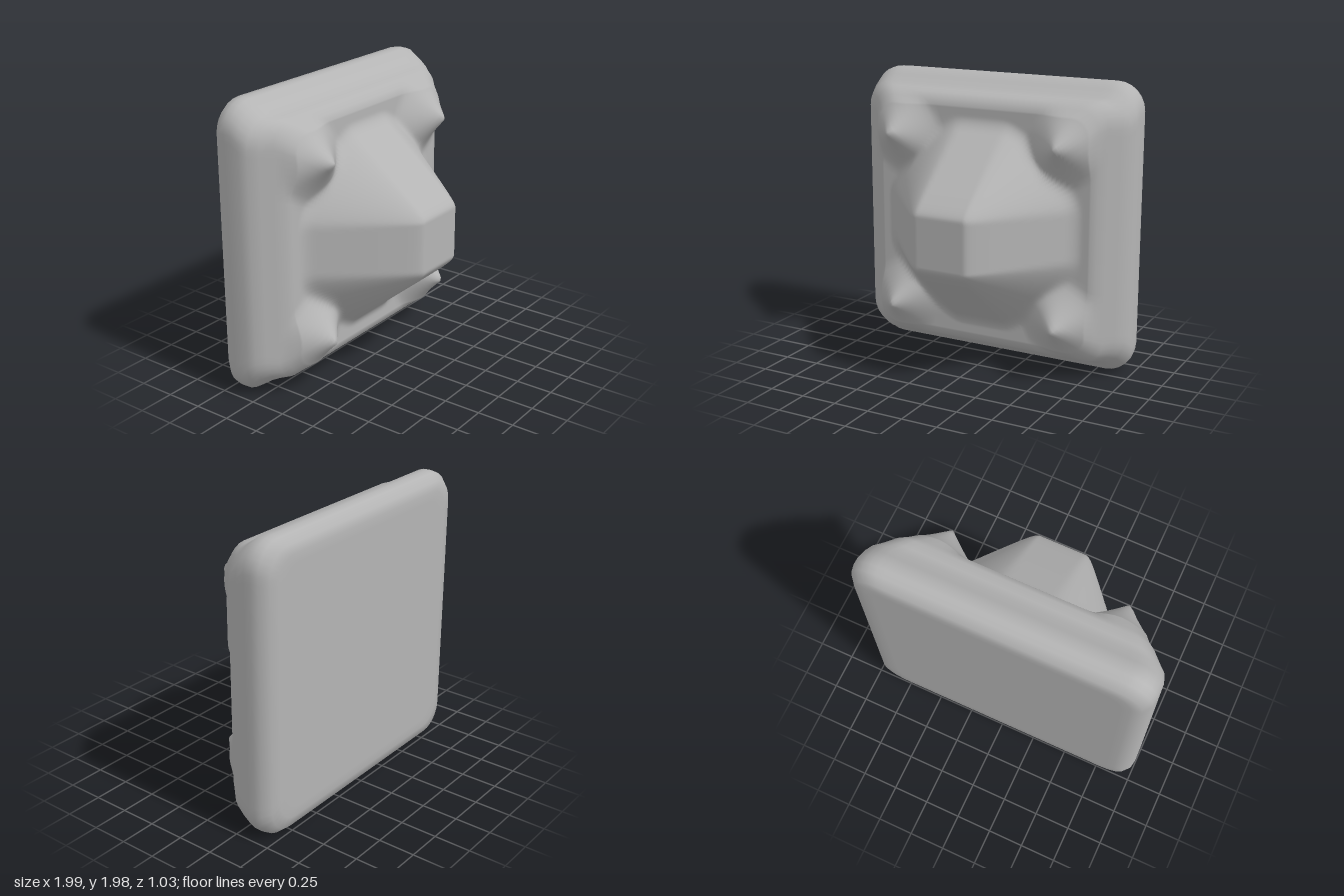
import * as THREE from 'three';

const CENTER_Y = 0.995, FLOOR = -0.065;
const CORNER_STEPS = 6, SIDE_STEPS = 30;

// Counter-clockwise rounded rectangle, the same point count for every size
function outline(hx, hy, r) {
  const corners = [[1, 1], [-1, 1], [-1, -1], [1, -1]];
  const points = [];
  corners.forEach(([sx, sy], k) => {
    const cx = sx * (hx - r), cy = sy * (hy - r);
    for (let i = 0; i <= CORNER_STEPS; i++) {
      const a = (k + i / CORNER_STEPS) * Math.PI / 2;
      points.push(new THREE.Vector2(cx + r * Math.cos(a), cy + r * Math.sin(a)));
    }
    // Straight side to the start of the next corner
    const [nx, ny] = corners[(k + 1) % 4];
    const a = (k + 1) * Math.PI / 2;
    const end = new THREE.Vector2(nx * (hx - r) + r * Math.cos(a), ny * (hy - r) + r * Math.sin(a));
    const start = points[points.length - 1].clone();
    for (let i = 1; i < SIDE_STEPS; i++) points.push(start.clone().lerp(end, i / SIDE_STEPS));
  });
  return points;
}

// Soft maximum that blends one swelling into another
function blend(a, b, k) {
  const h = Math.max(k - Math.abs(a - b), 0) / k;
  return Math.max(a, b) + h * h * k / 4;
}

// Central boss: flat square top with sloping sides
function boss(x, y) {
  const dx = Math.max(Math.abs(x) - 0.17, 0), dy = Math.max(Math.abs(y) - 0.17, 0);
  const d = Math.pow(Math.pow(dx, 1.35) + Math.pow(dy, 1.35), 1 / 1.35);
  return 0.515 - 1.22 * (Math.hypot(d, 0.04) - 0.04);
}

// Four pointed horns, each with a ridge running in towards the boss
function horn(x, y) {
  const px = Math.abs(x) - 0.61, py = Math.abs(y) - 0.605;
  let along = (px + py) * Math.SQRT1_2;
  const across = (px - py) * Math.SQRT1_2;
  if (along < 0) along *= 0.72;
  const d = Math.hypot(along, across);
  return FLOOR + 0.215 * Math.pow(Math.max(0, 1 - d / 0.27), 1.35);
}

function relief(x, y) {
  const base = Math.max(FLOOR, horn(x, y));
  return blend(base, boss(x, y), 0.06);
}

function tileGeometry() {
  const rings = [];
  // Back face and rounded rim: z, half width, half height, corner radius
  const rim = [
    [-0.515, 0, 0, 0], [-0.515, 0.82, 0.82, 0.14], [-0.515, 0.88, 0.88, 0.15],
    [-0.503, 0.945, 0.94, 0.17], [-0.45, 0.988, 0.982, 0.19], [-0.4, 0.997, 0.988, 0.19],
    [-0.35, 0.997, 0.985, 0.19], [-0.29, 0.995, 0.945, 0.19], [-0.23, 0.98, 0.9, 0.18],
    [-0.18, 0.93, 0.882, 0.17], [-0.12, 0.87, 0.868, 0.15], [-0.08, 0.825, 0.835, 0.14],
  ];
  for (const [z, hx, hy, r] of rim) {
    rings.push(outline(hx, hy, r).map((p) => [p.x, p.y + CENTER_Y, z]));
  }
  // Front face: shrinking loops lifted by the relief
  const edge = outline(0.785, 0.795, 0.13);
  const steps = 64;
  for (let i = 0; i <= steps; i++) {
    const s = 1 - i / steps;
    rings.push(edge.map((p) => [p.x * s, p.y * s + CENTER_Y, relief(p.x * s, p.y * s)]));
  }
  const n = edge.length, index = [];
  for (let i = 0; i < rings.length - 1; i++) {
    for (let j = 0; j < n; j++) {
      const k = (j + 1) % n;
      const a = i * n + j, b = i * n + k, c = (i + 1) * n + k, d = (i + 1) * n + j;
      if (i > 0) index.push(a, b, d);
      if (i < rings.length - 2) index.push(b, c, d);
    }
  }
  const geometry = new THREE.BufferGeometry();
  geometry.setAttribute('position', new THREE.Float32BufferAttribute(rings.flat(2), 3));
  geometry.setIndex(index);
  geometry.computeVertexNormals();
  // The collapsed centre loops share one straight normal
  const normal = geometry.attributes.normal;
  for (let j = 0; j < n; j++) {
    normal.setXYZ(j, 0, 0, -1);
    normal.setXYZ((rings.length - 1) * n + j, 0, 0, 1);
  }
  return geometry;
}

export function createModel() {
  const model = new THREE.Group();
  model.name = 'reliefTile';
  const stone = new THREE.MeshStandardMaterial({ color: 0xb4b4b4 });
  stone.name = 'grey stone';
  const tile = new THREE.Mesh(tileGeometry(), stone);
  tile.name = 'tileWithBossAndHorns';
  model.add(tile);
  return model;
}
